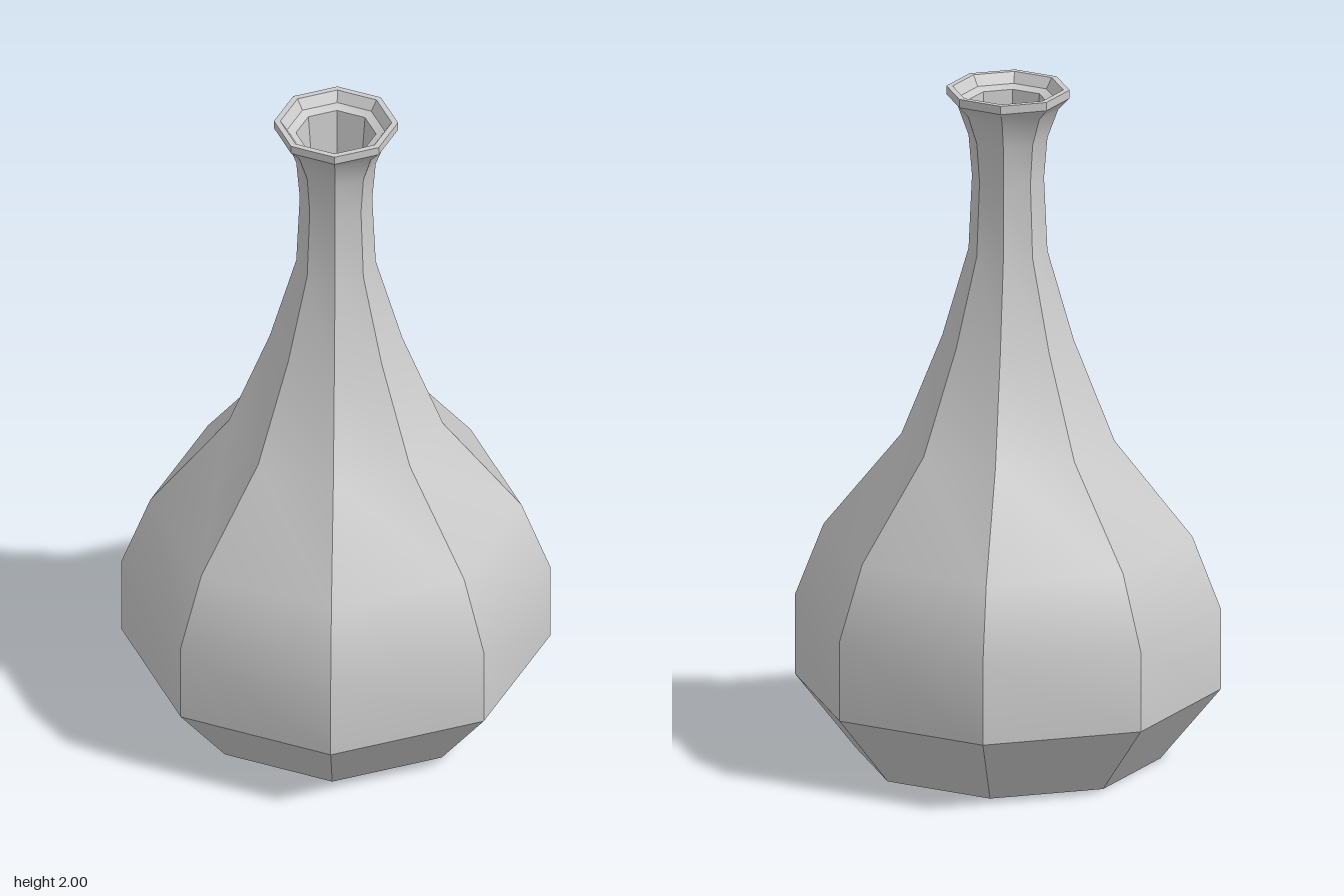
import * as THREE from 'three';
import { toCreasedNormals } from 'three/addons/utils/BufferGeometryUtils.js';

const SIDES = 8;

// Radius and height from the foot, up the outside, over the lip and down the neck
const PROFILE = [
  [0.44, 0], [0.615, 0.215], [0.615, 0.456], [0.533, 0.67], [0.308, 0.95],
  [0.19, 1.25], [0.114, 1.515], [0.104, 1.735], [0.114, 1.855], [0.145, 1.94],
  [0.178, 1.975], [0.178, 2], [0.16, 2], [0.14, 1.97], [0.115, 1.96], [0.095, 1.74],
];

export function createModel() {
  const model = new THREE.Group();
  model.name = 'bottle';
  const material = new THREE.MeshStandardMaterial({ color: 0xcccccc });

  const add = (name, geometry) => {
    const mesh = new THREE.Mesh(geometry, material);
    mesh.name = name;
    model.add(mesh);
    return mesh;
  };

  // Eight-sided body: sharp between the sides, smooth along the curve
  const points = PROFILE.map(([r, y]) => new THREE.Vector2(r, y));
  const lathe = new THREE.LatheGeometry(points, SIDES);
  add('body', toCreasedNormals(lathe, THREE.MathUtils.degToRad(30)));

  // Flat underside
  add('base', new THREE.CircleGeometry(PROFILE[0][0], SIDES).rotateX(Math.PI / 2));

  // Flat floor inside the neck
  const [floorRadius, floorY] = PROFILE[PROFILE.length - 1];
  add('neckFloor', new THREE.CircleGeometry(floorRadius, SIDES).rotateX(-Math.PI / 2))
    .position.y = floorY;

  return model;
}
